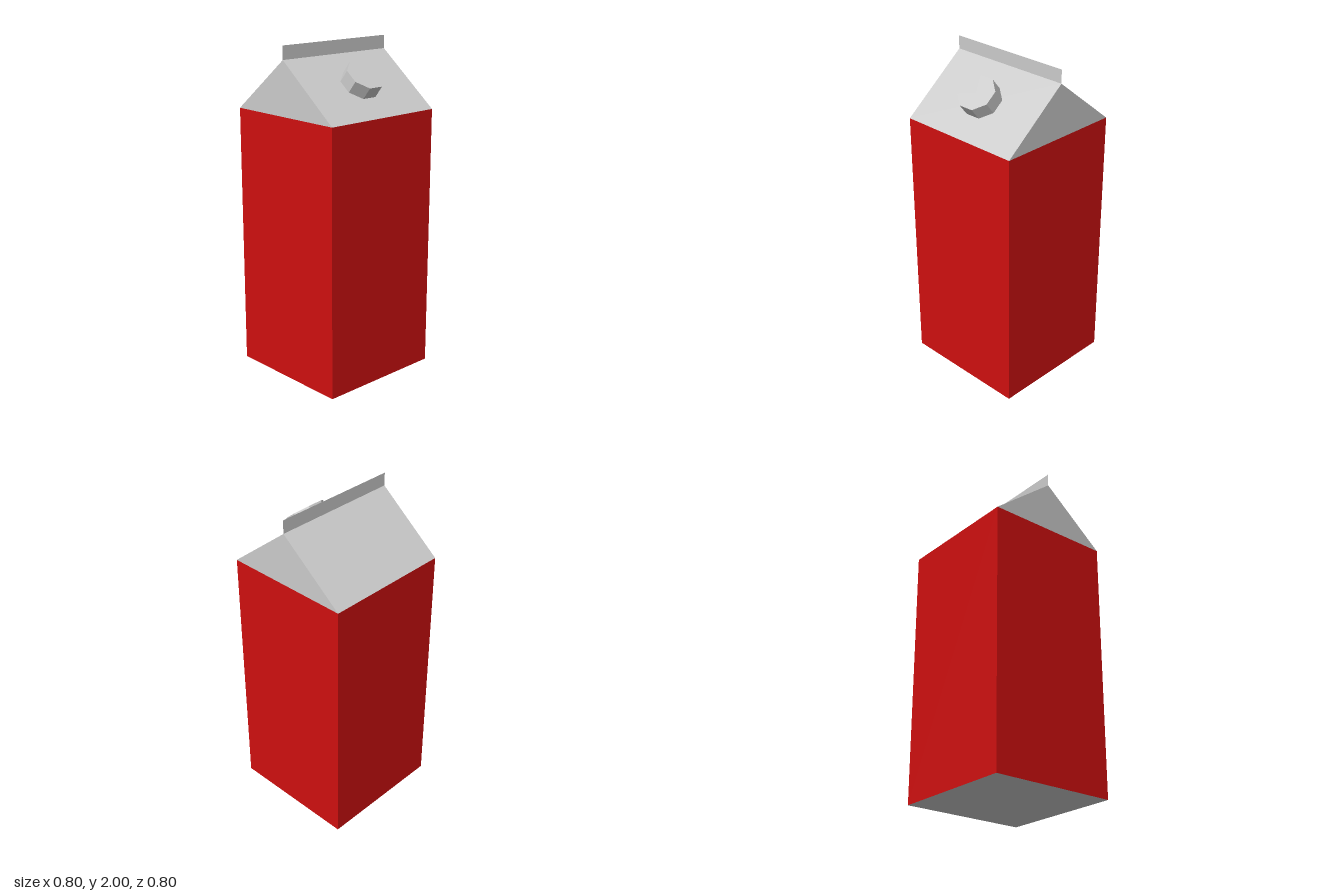
import * as THREE from 'three';

const HALF = 0.4;    // half width of the square carton
const WALL = 1.6;    // height of the walls
const RIDGE = 1.92;  // height of the gable ridge
const TOP = 2;       // top of the sealed fin

function material(color, side = THREE.FrontSide) {
  return new THREE.MeshStandardMaterial({ color, side, flatShading: true });
}

export function createModel() {
  const group = new THREE.Group();
  const grey = material(0xcccccc);

  function add(name, geometry, mat = grey) {
    const mesh = new THREE.Mesh(geometry, mat);
    mesh.name = name;
    group.add(mesh);
    return mesh;
  }

  // Four red walls: an open square tube
  const radius = HALF * Math.SQRT2;
  const walls = new THREE.CylinderGeometry(radius, radius, WALL, 4, 1, true, Math.PI / 4);
  add('walls', walls.translate(0, WALL / 2, 0), material(0xcf1010));

  // Grey base facing down
  add('base', new THREE.PlaneGeometry(2 * HALF, 2 * HALF).rotateX(Math.PI / 2));

  // Gable roof: triangle extruded along x
  const gable = new THREE.Shape([
    new THREE.Vector2(-HALF, WALL),
    new THREE.Vector2(HALF, WALL),
    new THREE.Vector2(0, RIDGE),
  ]);
  const roof = new THREE.ExtrudeGeometry(gable, { depth: 2 * HALF, bevelEnabled: false });
  add('gableRoof', roof.translate(0, 0, -HALF).rotateY(Math.PI / 2));

  // Thin sealed fin along the ridge
  const fin = new THREE.PlaneGeometry(2 * HALF, TOP - RIDGE);
  add('sealFin', fin.translate(0, (TOP + RIDGE) / 2, 0), material(0xcccccc, THREE.DoubleSide));

  // Octagonal screw cap standing square on the front slope
  const capHeight = 0.084;
  const capGeometry = new THREE.CylinderGeometry(0.1245, 0.1245, capHeight, 8, 1, false, Math.PI / 8);
  capGeometry.scale(1, 1, 0.915).translate(0, capHeight / 2, 0);
  const cap = add('screwCap', capGeometry);
  const slope = (RIDGE - WALL) / HALF;
  const capZ = 0.197;
  cap.position.set(0, RIDGE - slope * capZ, capZ);
  cap.rotation.x = Math.atan(slope);

  return group;
}
